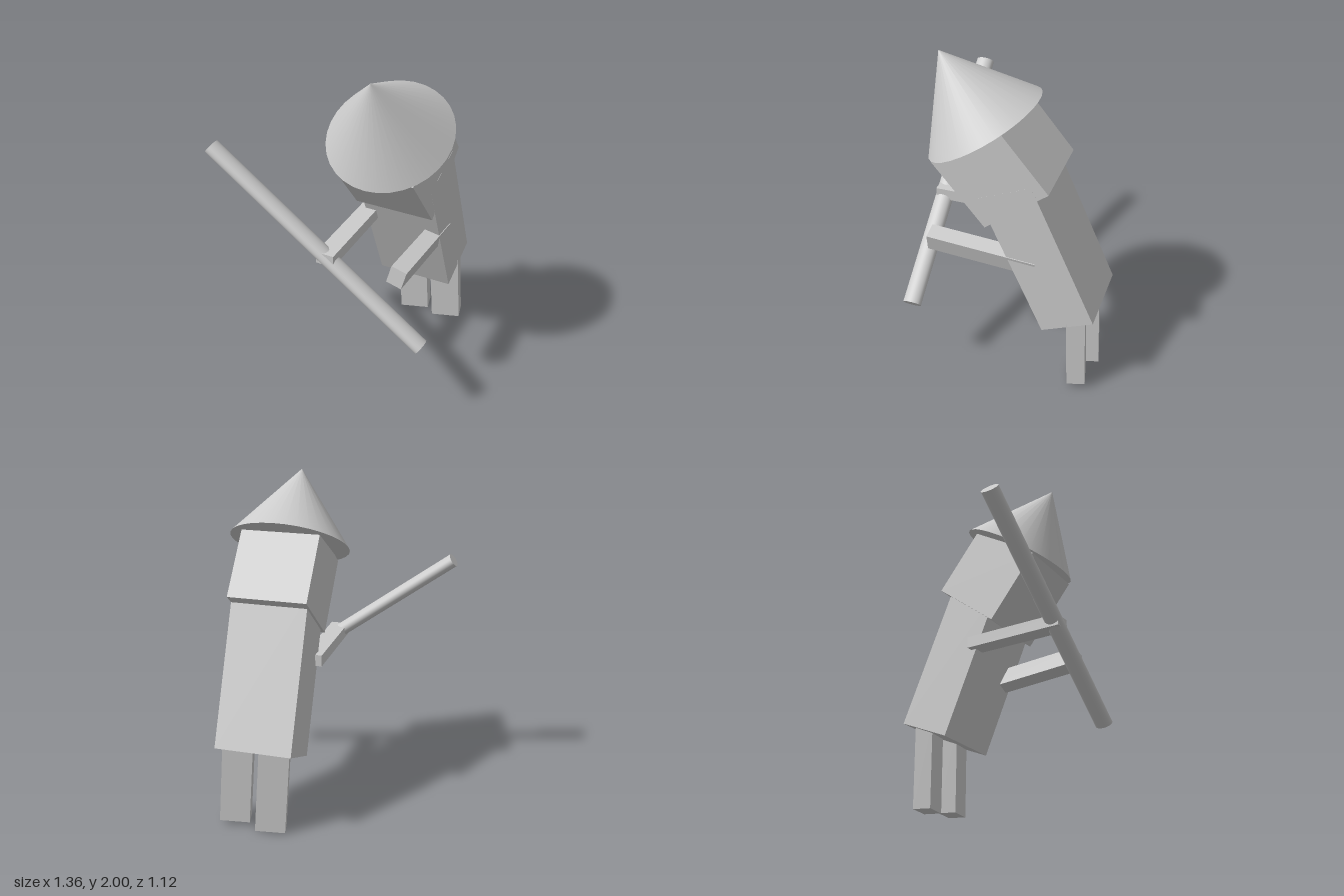
import * as THREE from 'three';

export function createModel() {
  const group = new THREE.Group();
  const grey = new THREE.MeshStandardMaterial({ color: 0xcccccc });
  grey.name = 'light grey';

  const add = (name, geometry, position, rotation = [0, 0, 0]) => {
    const mesh = new THREE.Mesh(geometry, grey);
    mesh.name = name;
    mesh.position.set(...position);
    mesh.rotation.set(...rotation);
    group.add(mesh);
    return mesh;
  };

  // Conical hat, tipped forward
  add('hat', new THREE.ConeGeometry(0.364, 0.477, 32), [0.283, 1.797, 0.284], [0.557, 0, 0]);

  // Bowed head and leaning torso, which overlap at the neck
  add('head', new THREE.BoxGeometry(0.48, 0.475, 0.474), [0.285, 1.405, 0.049], [0.677, 0, 0]);
  const torso = new THREE.BoxGeometry(0.465, 0.94, 0.334).translate(0, 0.47, 0);
  add('torso', torso, [0.293, 0.466, -0.407], [0.408, 0, 0]);

  // Legs, pivoted at the soles and turned slightly outward
  const leg = new THREE.BoxGeometry(0.18, 0.54, 0.11).translate(0, 0.27, 0);
  for (const [name, position] of [
    ['rightLeg', [0.218, 0.009, -0.48]],
    ['leftLeg', [0.45, 0.03, -0.455]],
  ]) {
    add(name, leg, position, [0.047, 0.23, 0.053, 'ZXY']);
  }

  // Empty left arm, pivoted at the hand
  const leftArm = new THREE.BoxGeometry(0.095, 0.112, 0.655).translate(0, 0, -0.3275);
  add('leftArm', leftArm, [0.47, 0.884, 0.447], [-0.068, 0, -0.25]);

  // Right arm reaching to the staff
  add('rightArm', new THREE.BoxGeometry(0.11, 0.07, 0.615), [0.075, 0.945, 0.24]);

  // Slanted oval staff
  const staff = add('staff', new THREE.CylinderGeometry(0.041, 0.041, 1.63, 32),
    [0, 0.987, 0.508], [0, 0, 0.939]);
  staff.scale.z = 1.34;

  return group;
}
